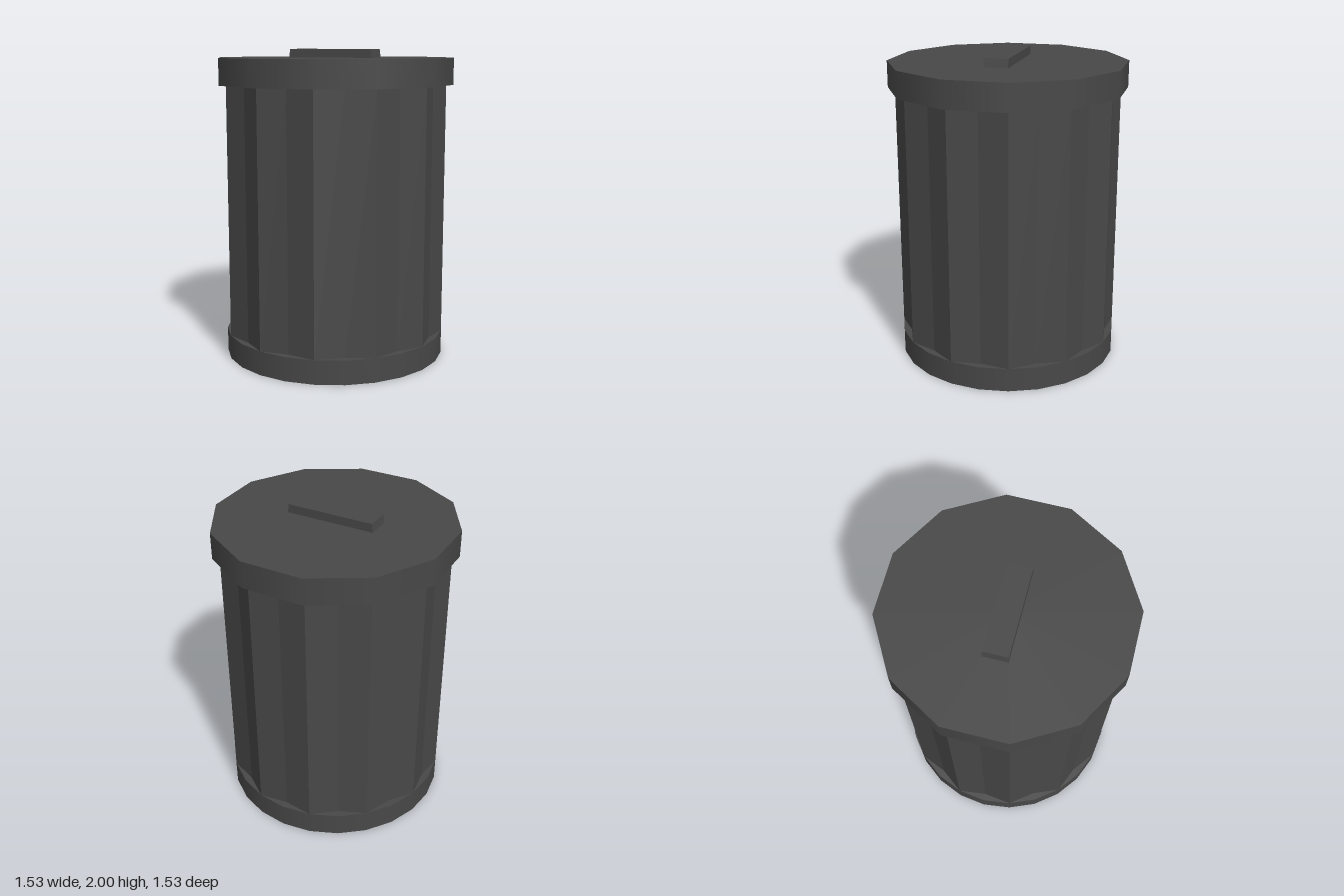
import * as THREE from 'three';

const darkMetal = new THREE.MeshStandardMaterial({ color: 0x484848 });
darkMetal.name = 'darkMetal';

function add(group, name, geometry, y) {
  const mesh = new THREE.Mesh(geometry, darkMetal);
  mesh.name = name;
  mesh.position.y = y;
  group.add(mesh);
  return mesh;
}

// Recompute normals per face for hard edges
function faceted(geometry) {
  const g = geometry.toNonIndexed();
  g.computeVertexNormals();
  return g;
}

// Cylinder whose every second corner is pulled inwards
function flutedCylinder(outer, inner, height, flutes) {
  const g = new THREE.CylinderGeometry(outer, outer, height, flutes * 2);
  const p = g.attributes.position;
  for (let i = 0; i < p.count; i++) {
    const step = Math.round(Math.atan2(p.getX(i), p.getZ(i)) / (Math.PI / flutes));
    if (step % 2 !== 0) {
      p.setX(i, p.getX(i) * inner / outer);
      p.setZ(i, p.getZ(i) * inner / outer);
    }
  }
  return faceted(g);
}

export function createModel() {
  const can = new THREE.Group();
  can.name = 'trashCan';

  // Round base rim and fluted body
  add(can, 'baseRim', new THREE.CylinderGeometry(0.72, 0.72, 0.155, 24), 0.0775);
  add(can, 'flutedBody', flutedCylinder(0.72, 0.672, 1.64, 12), 0.96);

  // Twelve-sided lid
  add(can, 'lid', new THREE.CylinderGeometry(0.765, 0.765, 0.17, 12), 1.86);

  // Handle bar with slightly sloping ends
  const bar = new THREE.BoxGeometry(0.58, 0.056, 0.154);
  const p = bar.attributes.position;
  for (let i = 0; i < p.count; i++) {
    if (p.getY(i) > 0) p.setX(i, Math.sign(p.getX(i)) * 0.282);
  }
  add(can, 'lidHandle', faceted(bar), 1.972).rotation.y = -Math.PI / 12;

  return can;
}
